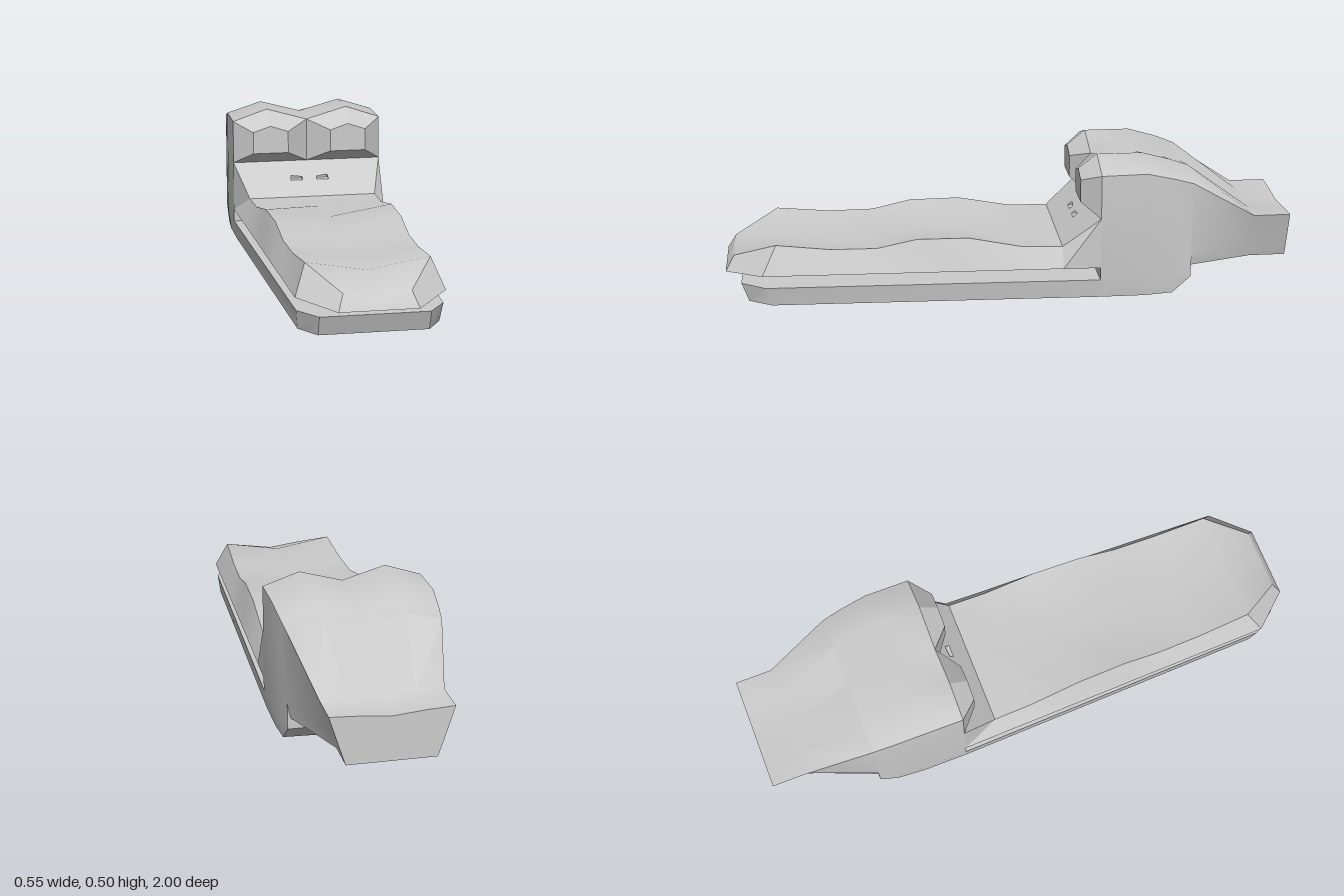
import * as THREE from 'three';
import { toCreasedNormals } from 'three/addons/utils/BufferGeometryUtils.js';

const grey = new THREE.MeshStandardMaterial({ color: 0xcccccc });
const greyDouble = new THREE.MeshStandardMaterial({ color: 0xcccccc, side: THREE.DoubleSide });

// Complete a half cross-section (x >= 0) with its mirror image
const mirrored = half => [
  ...half,
  ...half.filter(p => p[0] > 0).reverse().map(([x, y, z]) => [-x, y, z]),
];

// Skin a series of rings and close both ends with a fan around a cap centre
function loft(rings, startCentre, endCentre, crease = 0.55) {
  const n = rings[0].length, pos = rings.flat(2), index = [];
  for (let r = 0; r < rings.length - 1; r++) {
    for (let k = 0; k < n; k++) {
      const a = r * n + k, b = r * n + (k + 1) % n, c = a + n, d = b + n;
      index.push(a, c, b, b, c, d);
    }
  }
  const caps = [[startCentre, 0, false], [endCentre, (rings.length - 1) * n, true]];
  for (const [centre, base, flip] of caps) {
    if (!centre) continue;
    const m = pos.length / 3;
    pos.push(...centre);
    for (let k = 0; k < n; k++) {
      const a = base + k, b = base + (k + 1) % n;
      index.push(m, flip ? b : a, flip ? a : b);
    }
  }
  const geo = new THREE.BufferGeometry();
  geo.setAttribute('position', new THREE.Float32BufferAttribute(pos, 3));
  geo.setIndex(index);
  return toCreasedNormals(geo, crease);
}

// Flat four-cornered panels
function quads(list) {
  const geo = new THREE.BufferGeometry();
  const pos = list.flatMap(([a, b, c, d]) => [a, b, c, a, c, d].flat());
  geo.setAttribute('position', new THREE.Float32BufferAttribute(pos, 3));
  geo.computeVertexNormals();
  return geo;
}

export function createModel() {
  const model = new THREE.Group();
  const add = (name, geo, mat = grey) => {
    const mesh = new THREE.Mesh(geo, mat);
    mesh.name = name;
    model.add(mesh);
  };

  // Head and neck: z, bottom half width, bottom y, side x, side y, top half width, edge y, peak x, peak y, centre y
  const headRows = [
    [-0.31, 0.268, 0.008, 0.277, 0.075, 0.277, 0.457, 0.15, 0.5, 0.457],
    [-0.47, 0.268, 0.008, 0.277, 0.075, 0.277, 0.46, 0.15, 0.5, 0.46],
    [-0.57, 0.262, 0.012, 0.269, 0.075, 0.269, 0.435, 0.147, 0.472, 0.438],
    [-0.635, 0.26, 0.07, 0.261, 0.1, 0.261, 0.415, 0.14, 0.447, 0.42],
    [-0.636, 0.25, 0.11, 0.261, 0.16, 0.261, 0.415, 0.14, 0.447, 0.42],
    [-0.87, 0.15, 0.1, 0.17, 0.16, 0.205, 0.27, 0.11, 0.27, 0.26],
    [-1, 0.15, 0.1, 0.17, 0.16, 0.205, 0.27, 0.11, 0.265, 0.255],
  ];
  const headRings = headRows.map(([z, bw, by, sx, sy, tw, ey, px, py, cy]) => mirrored([
    [0, by < 0.05 ? by - 0.008 : by, z], [bw, by, z], [sx, sy, z], [tw, ey, z], [px, py, z], [0, cy, z],
  ]));
  add('head', loft(headRings, [0, 0.25, -0.31], [0, 0.18, -1], 0.65));

  // Lower jaw, skinned from its upper outline to its inset lower one
  const jawRing = (y, pts) => mirrored(pts.map(([x, z]) => [x, y, z]));
  add('lowerJaw', loft([
    jawRing(0.075, [[0, 0.945], [0.18, 0.945], [0.24, 0.86], [0.277, -0.31]]),
    jawRing(0.008, [[0, 0.92], [0.18, 0.92], [0.232, 0.84], [0.268, -0.31]]),
  ], [0, 0.075, 0.3], [0, 0, 0.3]));

  // Upper snout: blunt tip, then wavy top with a shallow groove
  const snoutRings = [
    mirrored([[0, 0.103, 1], [0.13, 0.103, 1], [0.11, 0.155, 0.97], [0, 0.14, 0.97]]),
    mirrored([[0, 0.12, 0.87], [0.245, 0.12, 0.87], [0.205, 0.22, 0.82], [0, 0.185, 0.82]]),
  ];
  const waves = [[0.63, 0.2, 0.025], [0.47, 0.2, 0.022], [0.33, 0.23, 0.037],
    [0.15, 0.23, 0.037], [-0.04, 0.193, 0.006], [-0.18, 0.19, 0]];
  for (const [z, y, dip] of waves) {
    const t = (0.87 - z) / 1.05;
    snoutRings.push(mirrored([
      [0, 0.12, z], [0.245 + 0.028 * t, 0.12, z], [0.205 + 0.03 * t, y, z], [0, y - dip, z],
    ]));
  }
  add('upperSnout', loft(snoutRings, [0, 0.13, 0.985], null));

  // Sloped face between snout and eyes, pierced by two slits
  const slopeZ = y => -0.31 + (0.3 - y) * 0.13 / 0.11;
  const face = new THREE.Shape([[-0.277, 0.3], [-0.235, 0.19], [0.235, 0.19], [0.277, 0.3]]
    .map(p => new THREE.Vector2(...p)));
  const slits = [-1, 1].map(s => [[0.027, 0.24], [0.072, 0.24], [0.068, 0.254], [0.027, 0.25]]
    .map(([x, y]) => [s * x, y]));
  for (const slit of slits) face.holes.push(new THREE.Path(slit.map(p => new THREE.Vector2(...p))));
  const faceGeo = new THREE.ShapeGeometry(face);
  const p = faceGeo.attributes.position;
  for (let i = 0; i < p.count; i++) p.setZ(i, slopeZ(p.getY(i)));
  faceGeo.computeVertexNormals();
  add('slopedFace', faceGeo);

  // Recesses behind the slits
  slits.forEach((slit, i) => {
    const front = slit.map(([x, y]) => [x, y, slopeZ(y)]);
    const back = slit.map(([x, y]) => [x, y, -0.275]);
    const walls = front.map((a, k) => [a, front[(k + 1) % 4], back[(k + 1) % 4], back[k]]);
    add(i ? 'leftSlit' : 'rightSlit', quads([...walls, back]), greyDouble);
  });

  // Cheeks and palate joining the snout to the head
  const cheek = s => [[s * 0.273, 0.12, -0.18], [s * 0.277, 0.12, -0.31],
    [s * 0.277, 0.3, -0.31], [s * 0.235, 0.19, -0.18]];
  add('cheeks', quads([cheek(1), cheek(-1).reverse()]));
  add('palate', quads([[[-0.273, 0.12, -0.18], [-0.277, 0.12, -0.31],
    [0.277, 0.12, -0.31], [0.273, 0.12, -0.18]]]));

  // Bevelled five-sided eyes
  const inner = [[0.08, 0.345, -0.245], [0.211, 0.345, -0.245], [0.211, 0.425, -0.245],
    [0.146, 0.447, -0.245], [0.08, 0.425, -0.245]];
  const outer = [[0, 0.3, -0.31], [0.277, 0.3, -0.31], [0.277, 0.457, -0.31],
    [0.15, 0.5, -0.31], [0, 0.457, -0.31]];
  for (const s of [1, -1]) {
    const side = ring => s > 0 ? ring : ring.map(([x, y, z]) => [-x, y, z]).reverse();
    add(s > 0 ? 'leftEye' : 'rightEye', loft([side(inner), side(outer)], [s * 0.146, 0.39, -0.245], null, 0.2));
  }
  return model;
}
